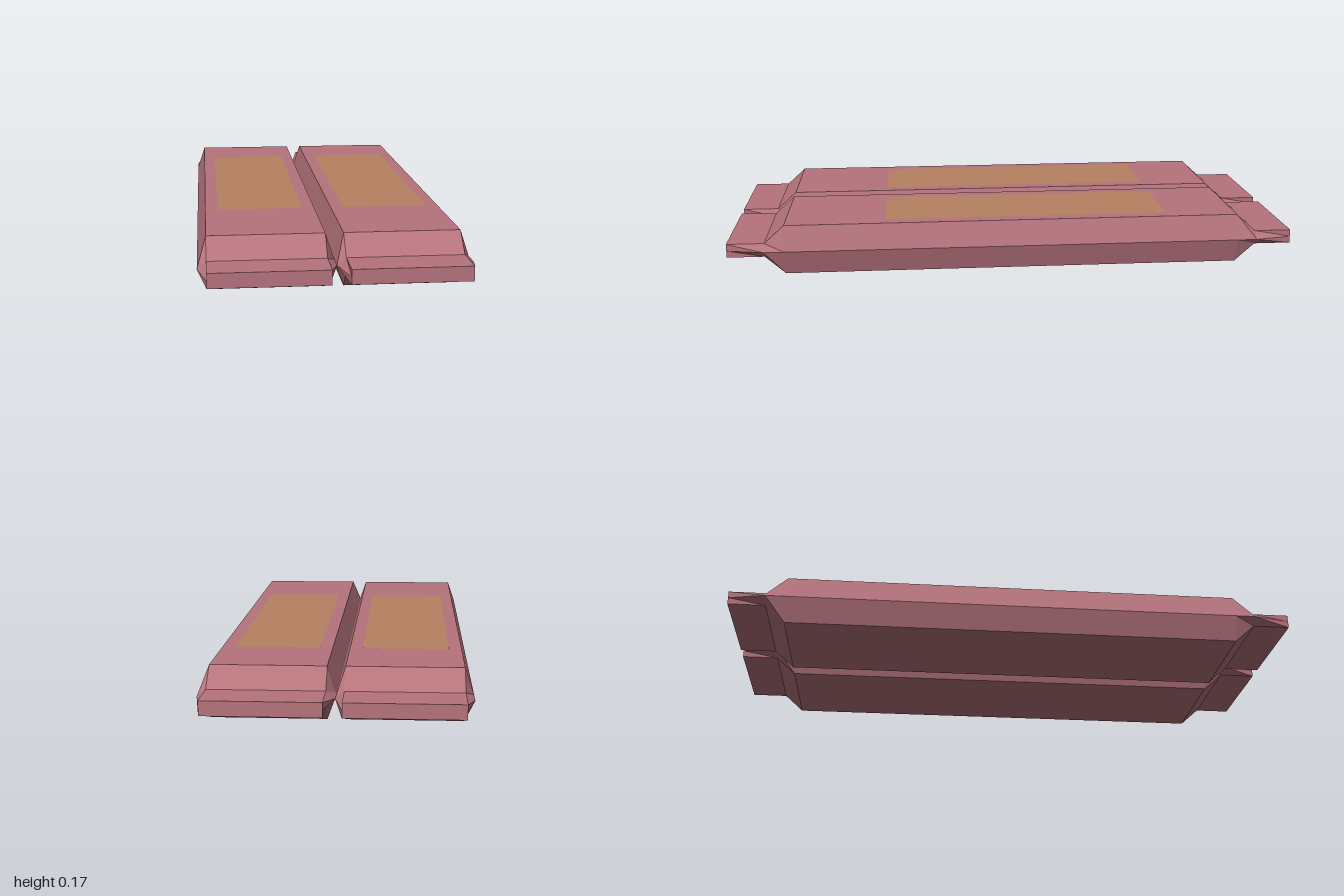
import * as THREE from 'three';

const MID = 0.087; // height of the side ridges
const FLAT = 0.188; // half width of the flat top and bottom

// Hexagonal cross-sections along z: [z, half height, half width at the ridge]
const SECTIONS = [
  [-1, 0.024, FLAT],
  [-0.87, 0.024, 0.217],
  [-0.8, MID, 0.217],
  [0.8, MID, 0.217],
  [0.87, 0.024, 0.217],
  [1, 0.024, FLAT],
];

// Loft the hexagons into a closed wrapper with crimped flat ends
function wrapperGeometry() {
  const positions = [];
  const index = [];
  for (const [z, h, w] of SECTIONS) {
    positions.push(w, MID, z, FLAT, MID + h, z, -FLAT, MID + h, z);
    positions.push(-w, MID, z, -FLAT, MID - h, z, FLAT, MID - h, z);
  }
  const last = (SECTIONS.length - 1) * 6;
  for (let i = 0; i < last; i += 6) {
    for (let j = 0; j < 6; j++) {
      const a = i + j;
      const b = i + ((j + 1) % 6);
      index.push(a, b, b + 6, a, b + 6, a + 6);
    }
  }
  // End caps
  for (let j = 1; j < 5; j++) {
    index.push(0, j + 1, j, last, last + j, last + j + 1);
  }
  const geometry = new THREE.BufferGeometry();
  geometry.setAttribute('position', new THREE.Float32BufferAttribute(positions, 3));
  geometry.setIndex(index);
  const flat = geometry.toNonIndexed();
  flat.computeVertexNormals();
  return flat;
}

export function createModel() {
  const model = new THREE.Group();
  model.name = 'twinBars';
  const wrapperMaterial = new THREE.MeshStandardMaterial({ color: 0xb5737c, flatShading: true });
  const labelMaterial = new THREE.MeshStandardMaterial({ color: 0xb68060 });
  const wrapperShape = wrapperGeometry();
  const labelShape = new THREE.PlaneGeometry(0.29, 1).rotateX(-Math.PI / 2);

  for (const [side, sign] of [['left', 1], ['right', -1]]) {
    const bar = new THREE.Group();
    bar.name = side + 'Bar';
    bar.position.x = sign * 0.217;

    const wrapper = new THREE.Mesh(wrapperShape, wrapperMaterial);
    wrapper.name = side + 'Wrapper';

    // Plain panel lying on the top face
    const label = new THREE.Mesh(labelShape, labelMaterial);
    label.name = side + 'Label';
    label.position.set(0, 2 * MID + 0.001, -0.05);

    bar.add(wrapper, label);
    model.add(bar);
  }
  return model;
}
